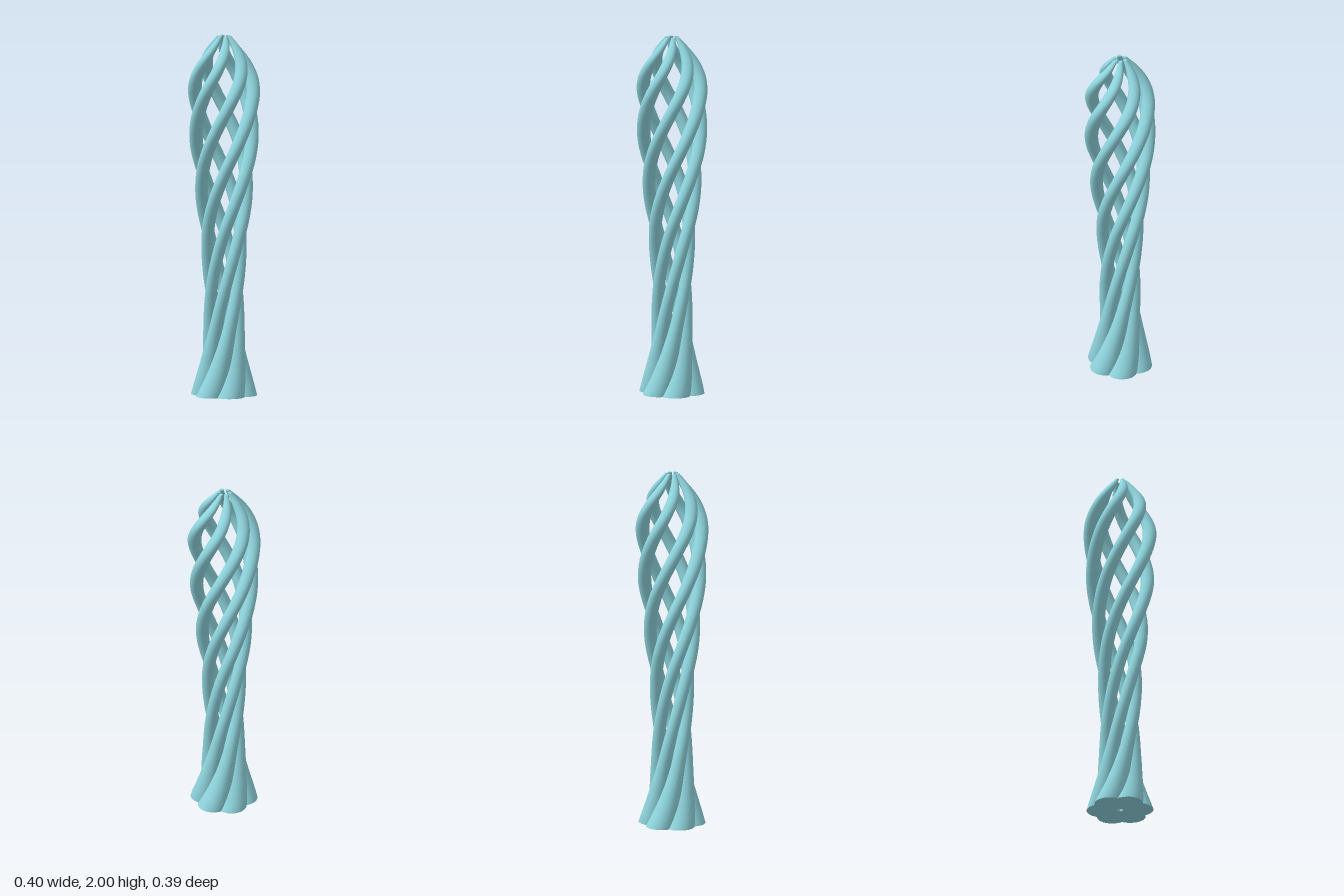
import * as THREE from 'three';

const STRANDS = 6, RINGS = 120, SIDES = 24, HEIGHT = 2;

// Strand profile: height, distance from the axis, strand radius
const PROFILE = [
  [0, 0.1, 0.085], [0.1, 0.088, 0.068], [0.2, 0.08, 0.054], [0.35, 0.076, 0.04],
  [0.55, 0.08, 0.034], [0.8, 0.092, 0.034], [1.0, 0.112, 0.035], [1.2, 0.132, 0.036],
  [1.4, 0.152, 0.037], [1.6, 0.163, 0.038], [1.7, 0.162, 0.038], [1.78, 0.15, 0.036],
  [1.86, 0.12, 0.033], [1.93, 0.078, 0.026], [2.0, 0.03, 0.011],
].map((p) => new THREE.Vector3(...p));

// Level rings whose centres wind one full turn round the axis
function strandGeometry() {
  const curve = new THREE.CatmullRomCurve3(PROFILE, false, 'centripetal');
  const positions = [], index = [];
  for (let i = 0; i <= RINGS; i++) {
    const { x: y, y: offset, z: radius } = curve.getPoint(i / RINGS);
    const twist = Math.PI * (HEIGHT - y);
    for (let j = 0; j < SIDES; j++) {
      const a = twist + (j / SIDES) * Math.PI * 2;
      positions.push(
        offset * Math.cos(twist) + radius * Math.cos(a), y,
        offset * Math.sin(twist) + radius * Math.sin(a));
      if (i === RINGS) continue;
      const p = i * SIDES + j, q = i * SIDES + ((j + 1) % SIDES);
      index.push(p, p + SIDES, q, q, p + SIDES, q + SIDES);
    }
  }
  const geometry = new THREE.BufferGeometry();
  geometry.setAttribute('position', new THREE.Float32BufferAttribute(positions, 3));
  geometry.setIndex(index);
  geometry.computeVertexNormals();
  return geometry;
}

// Flat disc closing one end of a strand
function capGeometry({ x: y, y: offset, z: radius }, facing) {
  return new THREE.CircleGeometry(radius, SIDES)
    .rotateX(-facing * Math.PI / 2)
    .translate(offset, y, 0);
}

export function createModel() {
  const model = new THREE.Group();
  model.name = 'twistedStrandColumn';
  const material = new THREE.MeshStandardMaterial({ color: 0x8fd5de });

  const parts = {
    strandBody: strandGeometry(),
    strandFoot: capGeometry(PROFILE[0], -1),
    strandTip: capGeometry(PROFILE[PROFILE.length - 1], 1),
  };

  // Six identical strands spaced evenly round the axis
  for (let k = 0; k < STRANDS; k++) {
    const strand = new THREE.Group();
    strand.name = `strand${k + 1}`;
    for (const [name, geometry] of Object.entries(parts)) {
      const mesh = new THREE.Mesh(geometry, material);
      mesh.name = name;
      strand.add(mesh);
    }
    strand.rotation.y = (k / STRANDS) * Math.PI * 2;
    model.add(strand);
  }
  return model;
}
